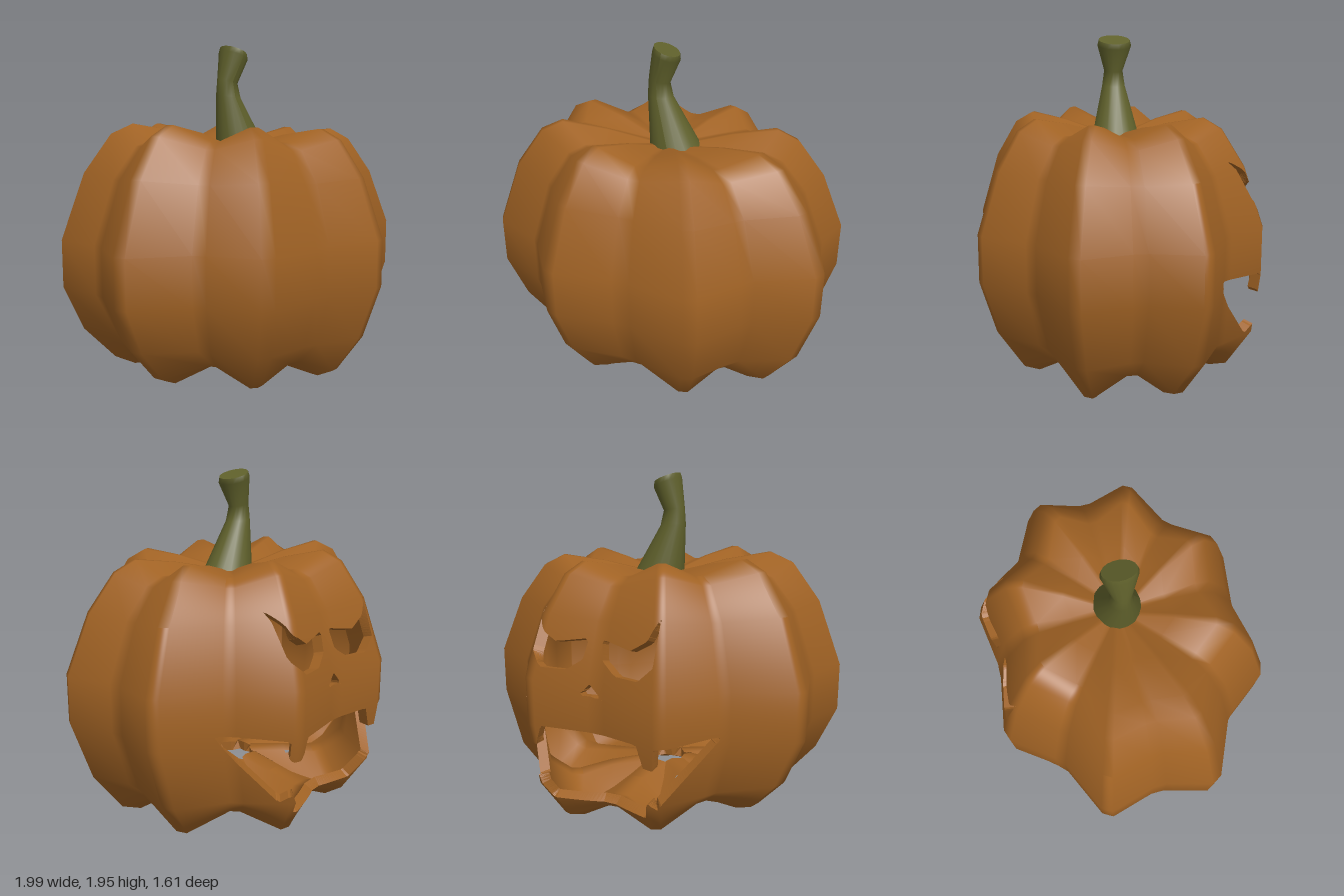
import * as THREE from 'three';

const clamp = (v) => Math.min(1, Math.max(0, v));
const WALL = 0.06;

// One quarter of the ribbed outline: x, z, rib weight (1 = crest, 0 = groove)
const QUARTER = [
  [0.925, 0.04, 0], [0.995, 0.3, 1], [0.96, 0.36, 1], [0.66, 0.5, 0],
  [0.61, 0.55, 0], [0.44, 0.78, 1], [0.37, 0.805, 1], [0.05, 0.755, 0],
];
// Rows from the bottom hole to the stem: outline scale, crest height, groove height
const ROWS = [
  [0.14, 0.17, 0.17], [0.4, 0.07, 0.16], [0.615, 0.05, 0.15], [0.725, 0.1, 0.18],
  [0.89, 0.31, 0.31], [1, 0.6, 0.6], [1, 0.87, 0.87], [0.87, 1.22, 1.2],
  [0.72, 1.43, 1.37], [0.6, 1.49, 1.41], [0.35, 1.45, 1.4], [0.08, 1.38, 1.38],
];

// Carved outlines on the back, in x and y
const CX = 0.035;
const EYE = [[0.04, 1.11], [0.23, 1.08], [0.33, 1.14], [0.39, 1.26], [0.385, 1.02],
  [0.3, 0.94], [0.15, 0.94], [0.06, 1.0]];
const MOUTH_HALF = [[0.3, 0.61], [0.34, 0.49], [0.4, 0.49], [0.41, 0.61], [0.67, 0.64],
  [0.4, 0.25], [0.36, 0.3], [0.3, 0.16]];
const flip = (pts) => pts.map(([x, y]) => [-x, y]);
const CUTS = [
  EYE, flip(EYE),
  [[0, 0.88], [0.08, 0.8], [0, 0.815], [-0.08, 0.8]],
  [...MOUTH_HALF, ...flip(MOUTH_HALF).reverse()],
];

// Signed distance to the carved outlines, negative inside a cut
function carve(px, y) {
  const x = px - CX;
  let best = Infinity;
  for (const poly of CUTS) {
    let d = Infinity, inside = false;
    poly.forEach(([ax, ay], i) => {
      const [bx, by] = poly[(i + 1) % poly.length];
      const ex = bx - ax, ey = by - ay;
      const t = clamp(((x - ax) * ex + (y - ay) * ey) / (ex * ex + ey * ey));
      d = Math.min(d, Math.hypot(x - ax - t * ex, y - ay - t * ey));
      if ((ay > y) !== (by > y) && x < ax + ((y - ay) / ey) * ex) inside = !inside;
    });
    best = Math.min(best, inside ? -d : d);
  }
  return best;
}

// Full ring in order of angle, by mirroring the quarter
function ringOutline() {
  const m = (sx, sz) => QUARTER.map(([x, z, w]) => [x * sx, z * sz, w]);
  return [...m(1, 1), ...m(-1, 1).reverse(), ...m(-1, -1), ...m(1, -1).reverse()];
}

// Leaning ribbed body with a dropped jaw at the back
function bodyPoint([ox, oz, w], [scale, crest, groove]) {
  const x = ox * scale;
  let z = oz * scale, y = groove + (crest - groove) * w;
  const jaw = clamp((-z - 0.2) / 0.3) * clamp((0.55 - y) / 0.25);
  y -= x * (0.08 * clamp((0.6 - y) / 0.5) + 0.035 * clamp((y - 0.87) / 0.5));
  y -= 0.05 * jaw;
  z -= 0.06 * jaw;
  return new THREE.Vector3(x, Math.max(0, y), z);
}

const mixVert = (a, b, t) => ({
  p: a.p.clone().lerp(b.p, t), n: a.n.clone().lerp(b.n, t),
  q: a.q.clone().lerp(b.q, t), f: a.f + (b.f - a.f) * t,
});

function toGeometry(pos, nor) {
  const g = new THREE.BufferGeometry();
  g.setAttribute('position', new THREE.Float32BufferAttribute(pos, 3));
  if (nor) g.setAttribute('normal', new THREE.Float32BufferAttribute(nor, 3));
  else g.computeVertexNormals();
  return g;
}

function buildShell() {
  const ring = ringOutline(), N = ring.length;
  const pts = ROWS.flatMap((row) => ring.map((o) => bodyPoint(o, row)));
  const index = [];
  const id = (i, j) => j * N + (i % N);
  for (let j = 0; j < ROWS.length - 1; j++) {
    for (let i = 0; i < N; i++) {
      index.push(id(i, j), id(i, j + 1), id(i + 1, j + 1), id(i, j), id(i + 1, j + 1), id(i + 1, j));
    }
  }
  const coarse = new THREE.BufferGeometry().setFromPoints(pts);
  coarse.setIndex(index);
  coarse.computeVertexNormals();
  const verts = pts.map((p, k) => {
    const n = new THREE.Vector3().fromBufferAttribute(coarse.attributes.normal, k);
    return { p, n, q: p.clone().addScaledVector(n, -WALL), f: 1 };
  });

  const outer = { pos: [], nor: [] }, inner = { pos: [], nor: [] }, edge = [];
  const wall = (a, b) => {
    for (const v of [b.p, a.p, a.q, b.p, a.q, b.q]) edge.push(v.x, v.y, v.z);
  };
  // Keep the part of each triangle outside the cuts and close the cut with a wall
  const addTriangle = (tri) => {
    const poly = [];
    tri.forEach((a, i) => {
      const b = tri[(i + 1) % 3];
      if (a.f >= 0) poly.push(a);
      if ((a.f >= 0) !== (b.f >= 0)) {
        const c = mixVert(a, b, a.f / (a.f - b.f));
        c.cut = true;
        poly.push(c);
      }
    });
    for (let i = 1; i < poly.length - 1; i++) {
      for (const v of [poly[0], poly[i], poly[i + 1]]) {
        const n = v.n.clone().normalize();
        outer.pos.push(...v.p.toArray());
        outer.nor.push(...n.toArray());
      }
      for (const v of [poly[0], poly[i + 1], poly[i]]) {
        const n = v.n.clone().normalize().negate();
        inner.pos.push(...v.q.toArray());
        inner.nor.push(...n.toArray());
      }
    }
    poly.forEach((a, i) => {
      const b = poly[(i + 1) % poly.length];
      if (a.cut && b.cut) wall(a, b);
    });
  };

  for (let j = 0; j < ROWS.length - 1; j++) {
    for (let i = 0; i < N; i++) {
      const [a, b, c, d] = [id(i, j), id(i + 1, j), id(i, j + 1), id(i + 1, j + 1)].map((k) => verts[k]);
      const carved = j > 0 && j < 9 && [a, b, c, d].every((v) => v.p.z < -0.22);
      const n = carved ? 12 : 1;
      const at = (s, t) => {
        const v = mixVert(mixVert(a, b, s / n), mixVert(c, d, s / n), t / n);
        if (carved) v.f = carve(v.p.x, v.p.y);
        return v;
      };
      for (let t = 0; t < n; t++) {
        for (let s = 0; s < n; s++) {
          const v00 = at(s, t), v11 = at(s + 1, t + 1);
          addTriangle([v00, at(s, t + 1), v11]);
          addTriangle([v00, v11, at(s + 1, t)]);
        }
      }
      if (j === 0) wall(b, a); // rim of the bottom hole
    }
  }
  return {
    outerSkin: toGeometry(outer.pos, outer.nor),
    innerWall: toGeometry(inner.pos, inner.nor),
    carvedEdges: toGeometry(edge),
  };
}

// Bent stem: centre x, centre y, radius x, radius z, slope of the section
function buildStem() {
  const rings = [
    [0.04, 1.36, 0.155, 0.14, 0], [-0.055, 1.66, 0.075, 0.068, -0.1],
    [-0.062, 1.75, 0.062, 0.055, -0.2], [-0.02, 1.895, 0.076, 0.1, -0.4],
    [-0.017, 1.925, 0.07, 0.092, -0.42],
  ];
  const g = new THREE.CylinderGeometry(1, 1, 1, 18, rings.length - 1);
  const p = g.attributes.position;
  for (let i = 0; i < p.count; i++) {
    const [cx, cy, rx, rz, k] = rings[Math.round((p.getY(i) + 0.5) * (rings.length - 1))];
    const dx = p.getX(i) * rx;
    p.setXYZ(i, cx + dx, cy + dx * k, p.getZ(i) * rz);
  }
  g.computeVertexNormals();
  return g;
}

export function createModel() {
  const orange = new THREE.MeshStandardMaterial({ color: 0xa06224 });
  orange.name = 'pumpkinOrange';
  const green = new THREE.MeshStandardMaterial({ color: 0x5f602b });
  green.name = 'stemGreen';

  const model = new THREE.Group();
  model.name = 'carvedPumpkin';
  const add = (name, geometry, material) => {
    const mesh = new THREE.Mesh(geometry, material);
    mesh.name = name;
    model.add(mesh);
  };
  for (const [name, geometry] of Object.entries(buildShell())) add(name, geometry, orange);
  add('stem', buildStem(), green);
  return model;
}
